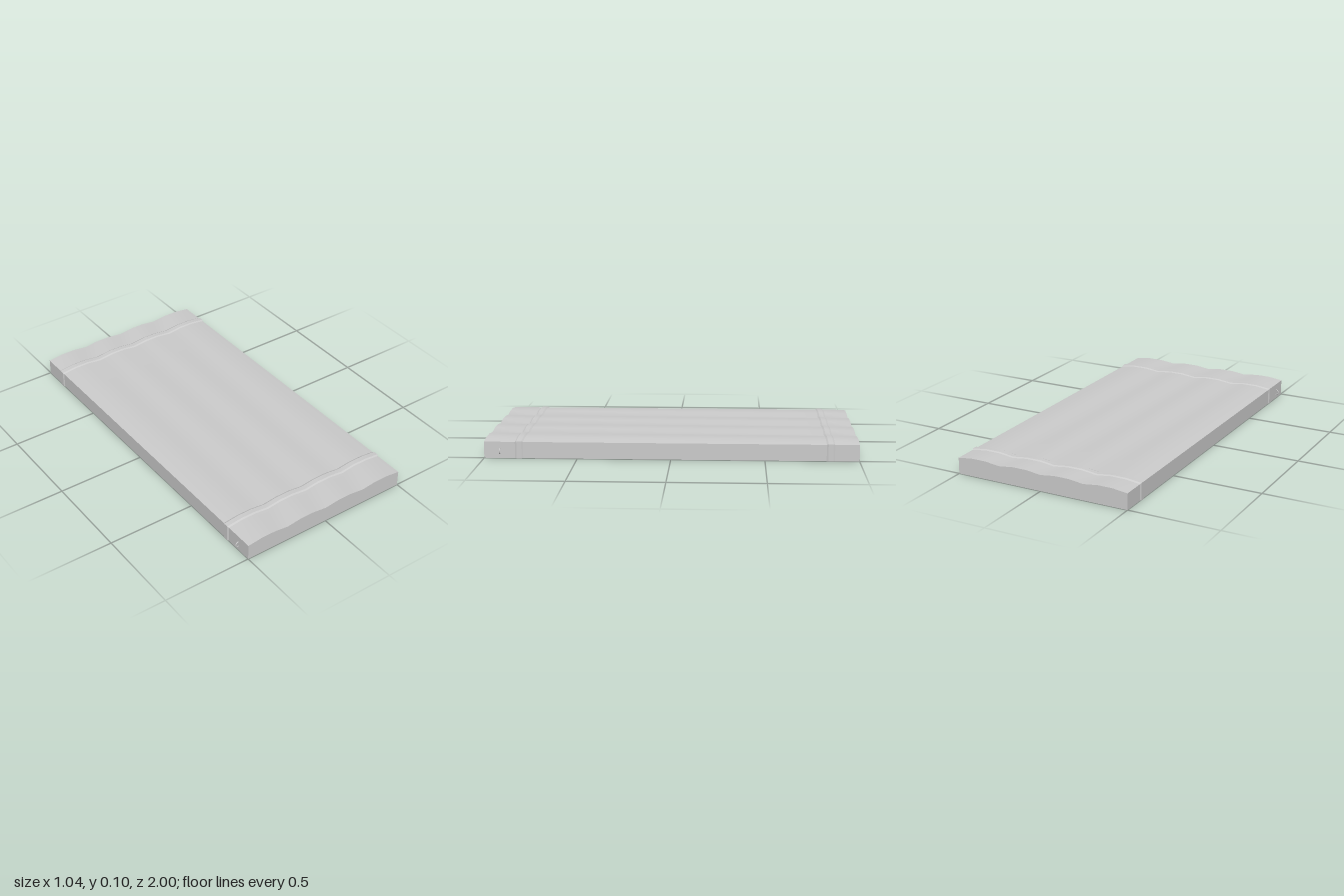
import * as THREE from 'three';
import { toCreasedNormals } from 'three/addons/utils/BufferGeometryUtils.js';

const HALF_WIDTH = 0.5, HALF_LENGTH = 1;
const VALLEY = 0.0885, PEAK = 0.099, BEAD = 0.0045;

// Cross-section of the sheet: up one side, over four shallow waves, down the other
function sectionPoints(offset) {
  const side = HALF_WIDTH + offset;
  const points = [[-side, 0], [-side, VALLEY + offset]];
  for (let wave = 0; wave < 4; wave++) {
    const x = -HALF_WIDTH + wave * 0.25;
    points.push([x + 0.083, PEAK + offset], [x + 0.167, PEAK + offset]);
    points.push([wave === 3 ? side : x + 0.25, VALLEY + offset]);
  }
  points.push([side, 0]);
  return points;
}

// Sweep the section along z, swelling it at the two pressed beads
function sheetGeometry() {
  const stations = [[-HALF_LENGTH, 0]];
  for (const z of [-0.848, 0.812]) {
    stations.push([z - 0.022, 0], [z - 0.013, BEAD], [z + 0.013, BEAD], [z + 0.022, 0]);
  }
  stations.push([HALF_LENGTH, 0]);

  const positions = [], index = [];
  const count = sectionPoints(0).length;
  stations.forEach(([z, offset], row) => {
    sectionPoints(offset).forEach(([x, y], col) => {
      positions.push(x, y, z);
      if (row === 0 || col === 0) return;
      const d = row * count + col, c = d - 1, b = d - count, a = b - 1;
      index.push(a, c, b, b, c, d);
    });
  });
  const geometry = new THREE.BufferGeometry();
  geometry.setAttribute('position', new THREE.Float32BufferAttribute(positions, 3));
  geometry.setIndex(index);
  return toCreasedNormals(geometry, 0.3);
}

export function createModel() {
  const model = new THREE.Group();
  model.name = 'corrugatedCover';
  const sheetMaterial = new THREE.MeshStandardMaterial({ color: 0xcccccc, side: THREE.DoubleSide });
  const metal = new THREE.MeshStandardMaterial({ color: 0xcccccc });

  const add = (name, geometry, material) => {
    const mesh = new THREE.Mesh(geometry, material);
    mesh.name = name;
    model.add(mesh);
    return mesh;
  };

  // Top and side walls in one open-bottomed sheet
  add('coverSheet', sheetGeometry(), sheetMaterial);

  // Flat end walls
  const endShape = new THREE.Shape(sectionPoints(0).map(([x, y]) => new THREE.Vector2(x, y)));
  const endGeometry = new THREE.ShapeGeometry(endShape);
  add('frontWall', endGeometry, sheetMaterial).position.z = HALF_LENGTH;
  const back = add('backWall', endGeometry, sheetMaterial);
  back.position.z = -HALF_LENGTH;
  back.rotation.y = Math.PI;

  // Small wire loops near the front, passing through the side walls
  for (const [name, s] of [['leftLoop', 1], ['rightLoop', -1]]) {
    const path = new THREE.CatmullRomCurve3([
      [0.494, 0.024], [0.504, 0.024], [0.512, 0.029], [0.515, 0.038],
      [0.512, 0.047], [0.504, 0.052], [0.494, 0.052],
    ].map(([x, y]) => new THREE.Vector3(s * x, y, 0.915)));
    add(name, new THREE.TubeGeometry(path, 20, 0.003, 8), metal);
  }
  return model;
}
